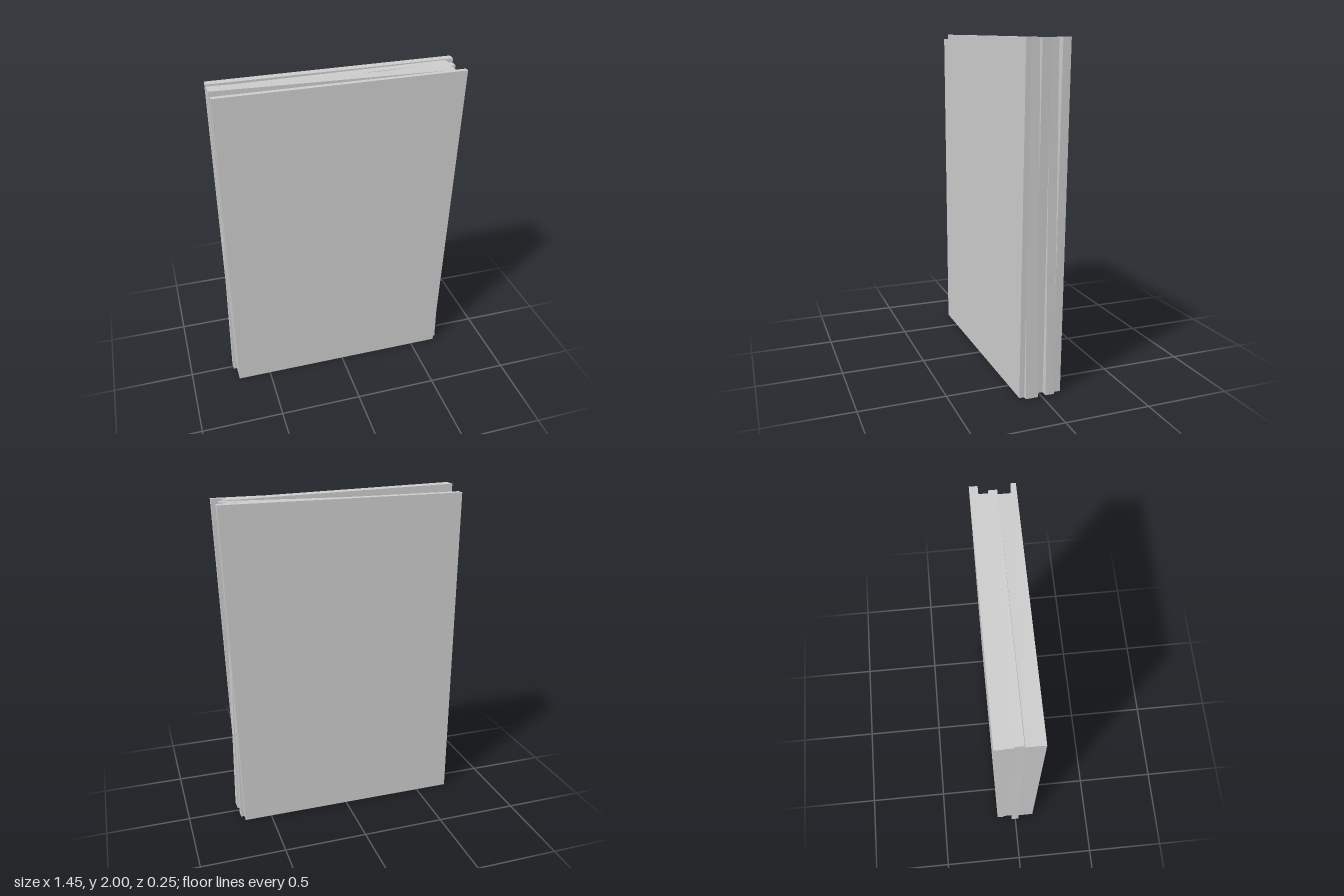
import * as THREE from 'three';

const material = new THREE.MeshStandardMaterial({ color: 0xcccccc, flatShading: true });

// One upright panel: a slightly skewed four-sided outline extruded from z0 to z1
function panel(name, z0, z1, corners) {
  const shape = new THREE.Shape(corners.map(([x, y]) => new THREE.Vector2(x, y)));
  const geometry = new THREE.ExtrudeGeometry(shape, { depth: z1 - z0, bevelEnabled: false });
  geometry.translate(0, 0, z0);
  const mesh = new THREE.Mesh(geometry, material);
  mesh.name = name;
  return mesh;
}

export function createModel() {
  const group = new THREE.Group();
  group.name = 'panelStack';

  // Corners run bottom left, bottom right, top right, top left
  const cover = [[-0.705, 0], [0.665, 0], [0.725, 1.97], [-0.71, 1.97]];
  group.add(
    panel('backCover', -0.125, -0.078, cover),
    panel('backInnerPanel', -0.078, -0.026, [[-0.7, 0], [0.686, 0], [0.678, 1.965], [-0.705, 1.955]]),
    panel('middlePanel', -0.026, 0.023, [[-0.728, 0], [0.645, 0], [0.695, 1.967], [-0.695, 1.94]]),
    panel('frontInnerPanel', 0.023, 0.096, [[-0.705, 0], [0.69, 0], [0.665, 1.969], [-0.717, 2]]),
    panel('frontCover', 0.096, 0.125, cover),
  );
  return group;
}
